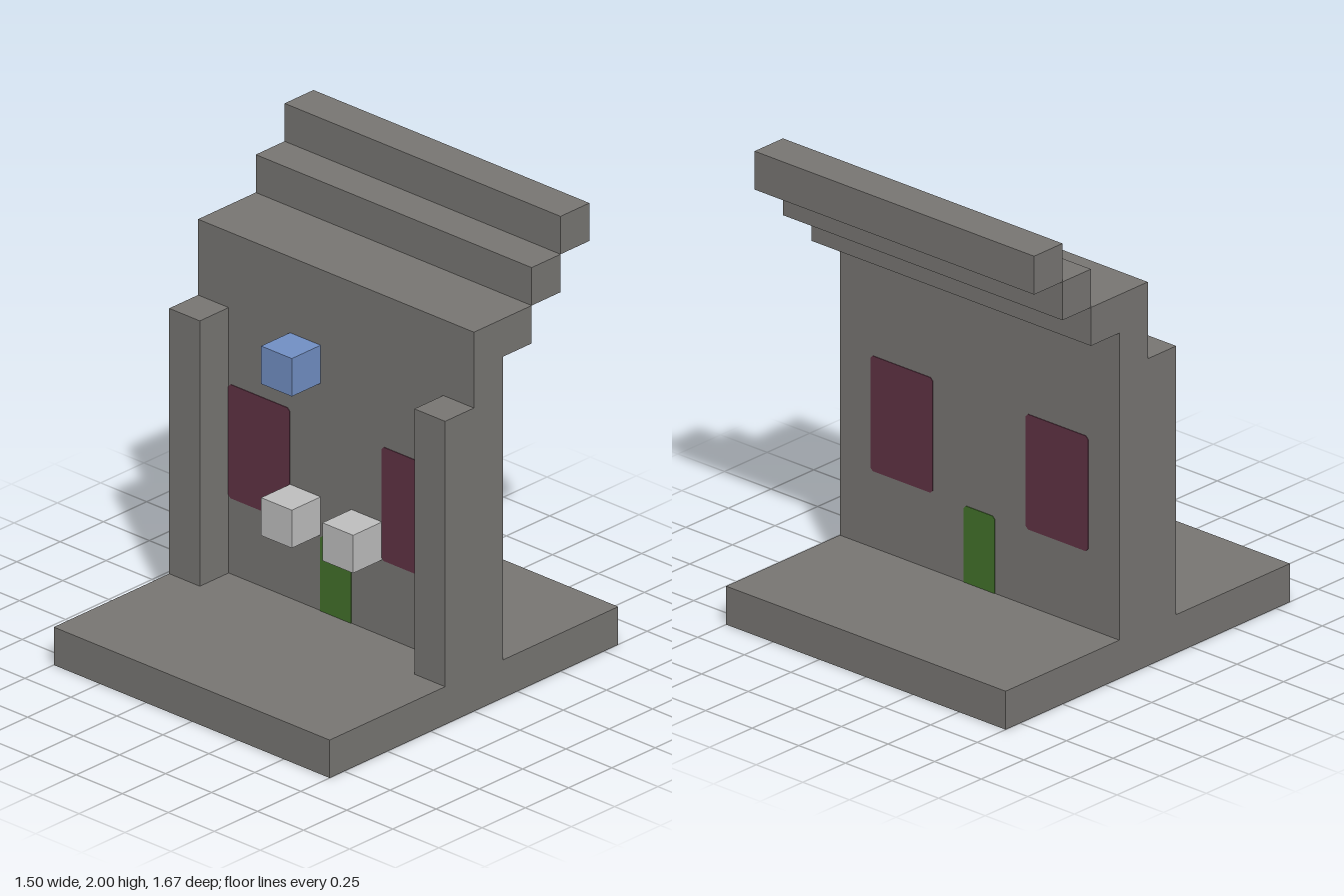
import * as THREE from 'three';

const U = 1 / 6; // one block

function material(name, color) {
  const m = new THREE.MeshStandardMaterial({ color });
  m.name = name;
  return m;
}

export function createModel() {
  const group = new THREE.Group();
  group.name = 'facade';

  const stone = material('stone grey', 0x797774);
  const glass = material('wine red', 0x613345);
  const green = material('door green', 0x43722b);
  const blue = material('lamp blue', 0x7391c6);
  const pale = material('pale grey', 0xc0c0c0);

  // Box given by its min and max corners, in blocks
  function block(name, mat, x0, x1, y0, y1, z0, z1) {
    const mesh = new THREE.Mesh(
      new THREE.BoxGeometry((x1 - x0) * U, (y1 - y0) * U, (z1 - z0) * U), mat);
    mesh.position.set((x0 + x1) / 2 * U, (y0 + y1) / 2 * U, (z0 + z1) / 2 * U);
    mesh.name = name;
    group.add(mesh);
  }

  // Thin plate with slightly clipped corners, on the front or back of the wall
  function panel(name, mat, x0, x1, y0, y1, front, clipBottom) {
    const [l, r, b, t] = [x0 * U, x1 * U, y0 * U, y1 * U];
    const c = 0.012, d = clipBottom ? c : 0;
    const shape = new THREE.Shape([
      [l + d, b], [r - d, b], [r, b + d], [r, t - c],
      [r - c, t], [l + c, t], [l, t - c], [l, b + d],
    ].map(([x, y]) => new THREE.Vector2(x, y)));
    const mesh = new THREE.Mesh(
      new THREE.ExtrudeGeometry(shape, { depth: 0.003, bevelEnabled: false }), mat);
    mesh.position.z = front ? 0 : -U - 0.003;
    mesh.name = name;
    group.add(mesh);
  }

  // Ground slab
  block('base', stone, -4.5, 4.5, 0, 1, -5, 5);

  // Wall and its cornice, with the stepped roof rising to the back
  block('wall', stone, -4.5, 4.5, 1, 10, -1, 0);
  block('cornice', stone, -4.5, 4.5, 9, 10, -2, -1);
  for (let i = 0; i < 2; i++) {
    block('roofStep', stone, -4.5, 4.5, 10 + i, 11 + i, -3 - i, -2 - i);
  }

  // Front pillars and pale blocks beside the door
  for (const s of [-1, 1]) {
    block('pillar', stone, s * 4 - 0.5, s * 4 + 0.5, 1, 8, 0, 1);
    block('paleBlock', pale, s - 0.5, s + 0.5, 3, 4, 0, 1);
  }
  block('blueLamp', blue, -1.5, -0.5, 7, 8, 0, 1);

  // Windows and door, seen on both faces of the wall
  for (const front of [true, false]) {
    for (const s of [-1, 1]) {
      panel('window', glass, s * 2.5 - 1, s * 2.5 + 1, 3, 6, front, true);
    }
    panel('door', green, -0.5, 0.5, 1, 3, front, false);
  }

  return group;
}
